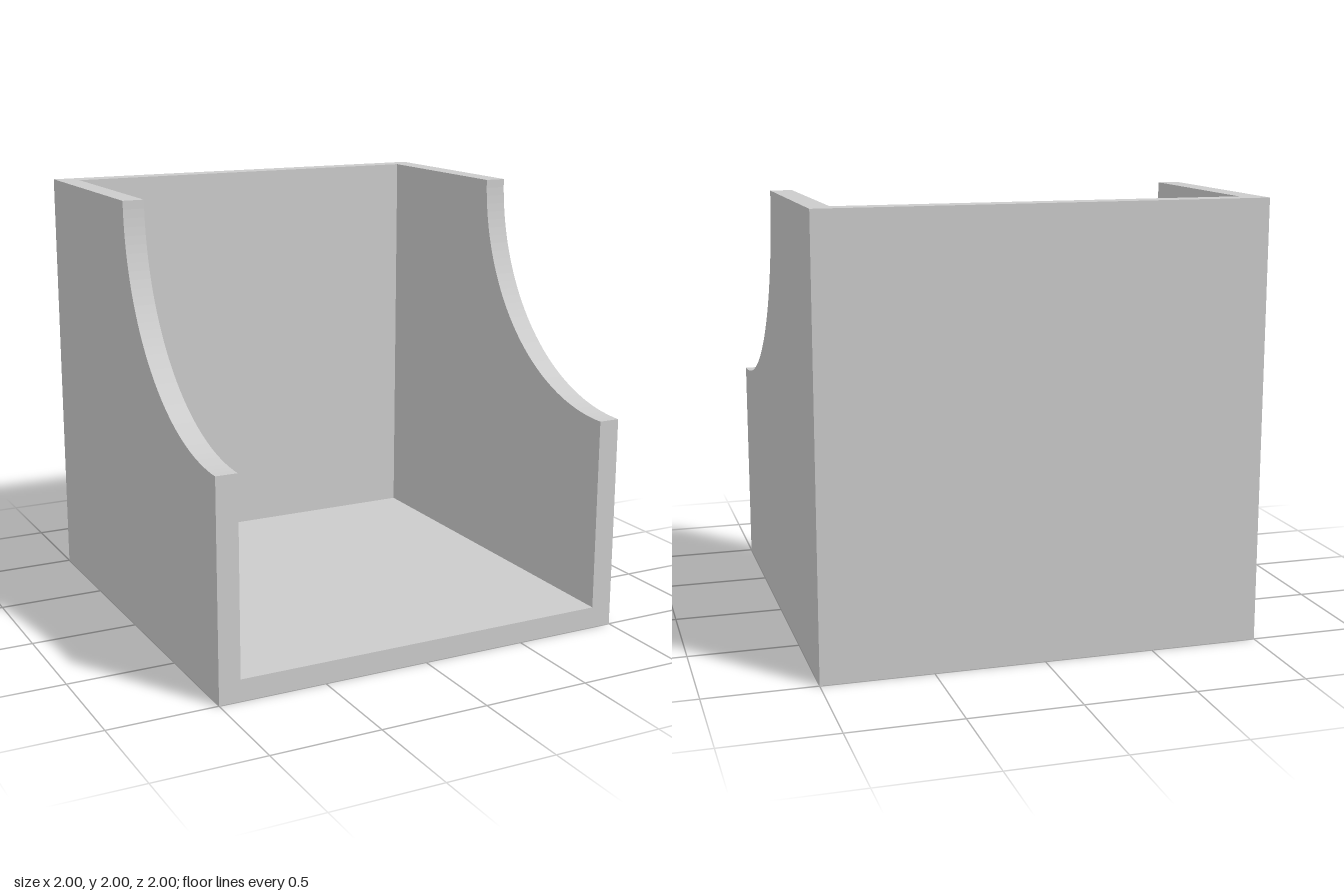
import * as THREE from 'three';

const SIZE = 2;
const WALL = 0.1;
const HALF = SIZE / 2;

export function createModel() {
  const group = new THREE.Group();
  group.name = 'openBin';
  const material = new THREE.MeshStandardMaterial({ color: 0xcccccc, flatShading: true });

  const add = (name, geometry, x, y, z) => {
    const mesh = new THREE.Mesh(geometry, material);
    mesh.name = name;
    mesh.position.set(x, y, z);
    group.add(mesh);
  };

  // Side profile in (z, y), with a quarter circle scooped out of the upper front corner
  const profile = new THREE.Shape();
  profile.moveTo(-HALF, 0);
  profile.lineTo(HALF, 0);
  profile.lineTo(HALF, 1);
  profile.absarc(HALF, SIZE, 1, -Math.PI / 2, -Math.PI, true);
  profile.lineTo(-HALF, SIZE);
  profile.closePath();

  // Side walls: the extrusion is turned so its depth runs towards -x
  const side = new THREE.ExtrudeGeometry(profile, { depth: WALL, bevelEnabled: false, curveSegments: 20 });
  side.rotateY(-Math.PI / 2);
  add('leftWall', side, HALF, 0, 0);
  add('rightWall', side, -HALF + WALL, 0, 0);

  // Floor and back wall fit between the sides
  const inner = SIZE - 2 * WALL;
  add('floor', new THREE.BoxGeometry(inner, WALL, SIZE), 0, WALL / 2, 0);
  add('backWall', new THREE.BoxGeometry(inner, SIZE - WALL, WALL), 0, (SIZE + WALL) / 2, -HALF + WALL / 2);

  return group;
}
